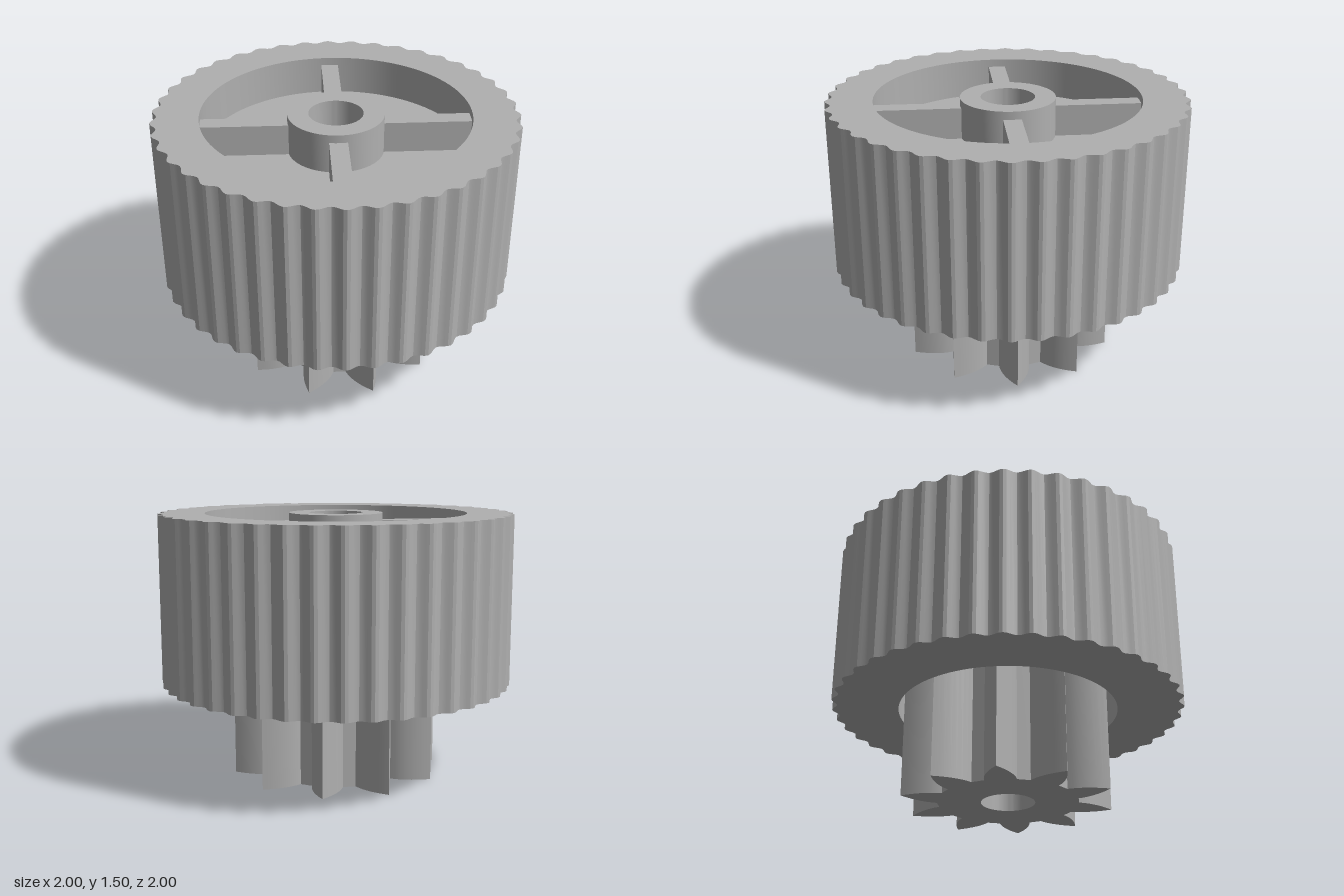
import * as THREE from 'three';
import { toCreasedNormals } from 'three/addons/utils/BufferGeometryUtils.js';

const BORE = 0.15, POCKET = 0.74, HUB = 0.265;
const BOTTOM = 0.535, TOP = 1.5, FLOOR = 1.28, ROOF = 1.1;

// Upright prism from an outline, with a round hole through it
function prism(points, hole, y0, y1, crease) {
  const shape = new THREE.Shape(points);
  shape.holes.push(new THREE.Path().absarc(0, 0, hole, 0, Math.PI * 2, true));
  const geo = new THREE.ExtrudeGeometry(shape, { depth: y1 - y0, bevelEnabled: false, curveSegments: 48 });
  geo.rotateX(-Math.PI / 2).translate(0, y0, 0);
  return toCreasedNormals(geo, crease);
}

// Fine rounded teeth of the large wheel, valleys on the x axis
function wheelOutline() {
  const teeth = 42, steps = 8, pts = [];
  for (let i = 0; i < teeth * steps; i++) {
    const a = (i / (teeth * steps)) * Math.PI * 2;
    const r = 0.985 - 0.016 * Math.cos(a * teeth);
    pts.push(new THREE.Vector2(r * Math.cos(a), r * Math.sin(a)));
  }
  return pts;
}

// Ten pointed, leaf-shaped teeth, one on each side of the x axis
function pinionOutline() {
  const teeth = 10, root = 0.392, tip = 0.594, steps = 7, pts = [];
  for (let k = 0; k < teeth; k++) {
    const a = (k / teeth) * Math.PI * 2;
    for (let i = -steps; i <= steps; i++) {
      const t = 1 - Math.abs(i) / steps;
      const x = root - 0.01 + (tip - root + 0.01) * t;
      const w = Math.sign(i) * 0.086 * (1 - Math.pow(t, 1.9));
      pts.push(new THREE.Vector2(x * Math.cos(a) - w * Math.sin(a), x * Math.sin(a) + w * Math.cos(a)));
    }
  }
  return pts;
}

export function createModel() {
  const model = new THREE.Group();
  const grey = new THREE.MeshStandardMaterial({ color: 0xb0b0b0 });
  grey.name = 'grey plastic';
  const add = (geo, name) => {
    const mesh = new THREE.Mesh(geo, grey);
    mesh.name = name;
    model.add(mesh);
    return mesh;
  };

  add(prism(wheelOutline(), POCKET, BOTTOM, TOP, 0.3), 'toothedRim');
  add(prism(pinionOutline(), BORE, 0, ROOF, 0.5), 'pinion');

  // Web with the upper pocket floor, the hub and the lower recess
  const profile = [
    [POCKET, FLOOR], [HUB, FLOOR], [HUB, TOP], [BORE, TOP],
    [BORE, ROOF], [0.625, ROOF], [0.625, BOTTOM], [POCKET, BOTTOM],
  ].map(([r, y]) => new THREE.Vector2(r, y));
  add(toCreasedNormals(new THREE.LatheGeometry(profile, 96), 0.5), 'webAndHub');

  // Four ribs joining hub and rim, slightly below the top
  const ribTop = 1.455, ribBase = FLOOR - 0.03;
  for (let i = 0; i < 4; i++) {
    const geo = new THREE.BoxGeometry(0.51, ribTop - ribBase, 0.1);
    geo.translate(0.49, (ribTop + ribBase) / 2, 0);
    add(geo, 'rib' + (i + 1)).rotation.y = (i * Math.PI) / 2;
  }
  return model;
}
